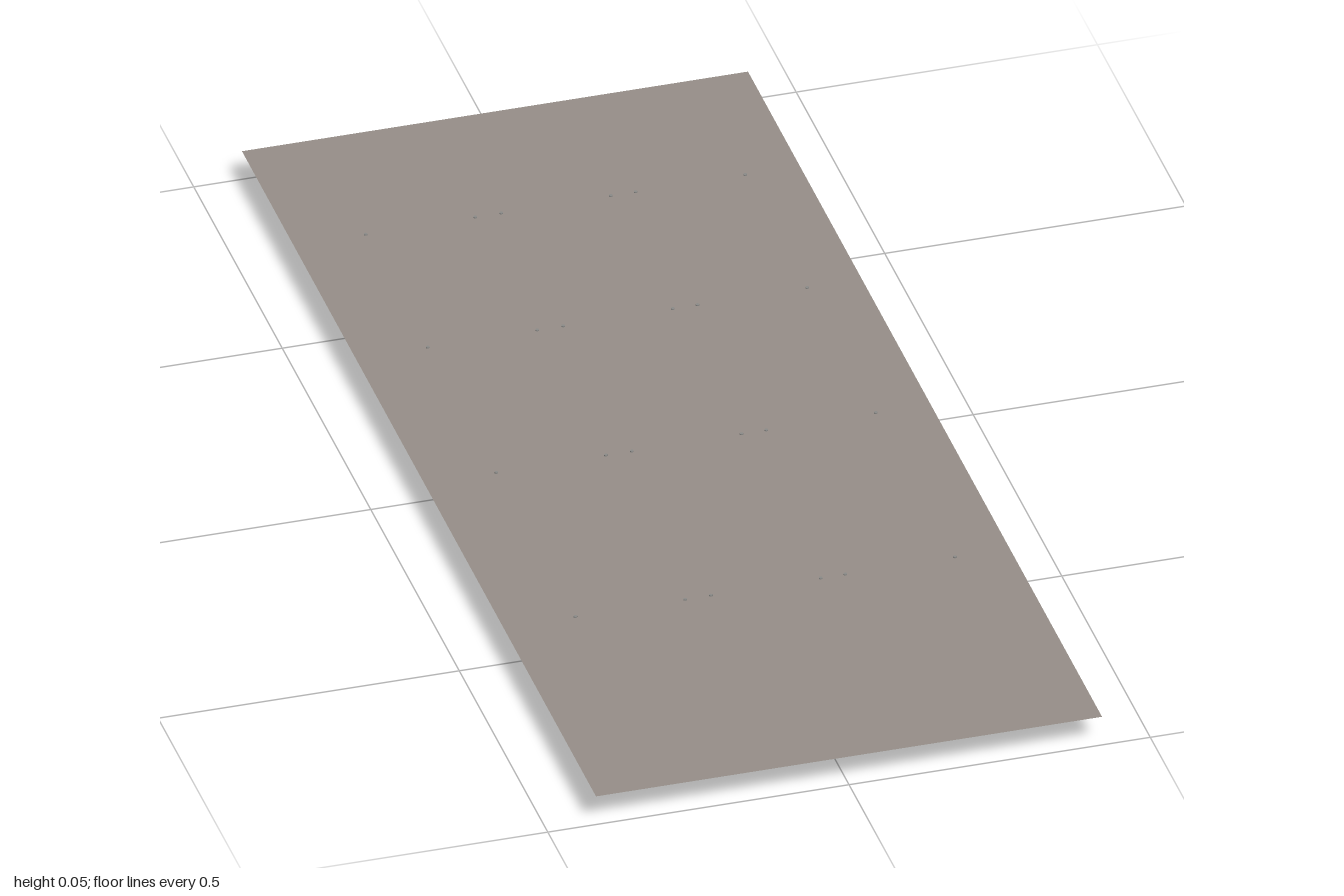
import * as THREE from 'three';

const material = (name, color) => {
  const m = new THREE.MeshStandardMaterial({ color });
  m.name = name;
  return m;
};

export function createModel() {
  const panelGrey = material('warm grey panel', 0x968e88);
  panelGrey.side = THREE.DoubleSide;
  const white = material('off white enamel', 0xd8d4ce);
  const grey = material('light grey lamp', 0xb8b8b6);
  const metal = material('grey metal', 0x8a8a88);

  const model = new THREE.Group();
  model.name = 'ceilingWithLights';

  const add = (parent, name, geometry, mat, x = 0, y = 0, z = 0) => {
    const mesh = new THREE.Mesh(geometry, mat);
    mesh.name = name;
    mesh.position.set(x, y, z);
    parent.add(mesh);
    return mesh;
  };

  // Thin ceiling sheet
  const sheet = new THREE.PlaneGeometry(0.84, 2).rotateX(-Math.PI / 2);
  add(model, 'ceilingPanel', sheet, panelGrey, 0, 0.053, 0);

  // Housing: chamfered section swept along x
  const length = 0.195;
  const section = new THREE.Shape([
    [-0.011, 0.005], [0.011, 0.005], [0.014, 0.014], [0.014, 0.031],
    [0.008, 0.039], [-0.008, 0.039], [-0.014, 0.031], [-0.014, 0.014],
  ].map(([z, y]) => new THREE.Vector2(z, y)));
  const housing = new THREE.ExtrudeGeometry(section, { depth: length, bevelEnabled: false });
  housing.translate(0, 0, -length / 2).rotateY(Math.PI / 2);

  const tube = new THREE.CylinderGeometry(0.0045, 0.0045, 0.172, 10).rotateZ(Math.PI / 2);
  const socket = new THREE.BoxGeometry(0.011, 0.014, 0.01);
  const rail = new THREE.BoxGeometry(0.182, 0.003, 0.004);
  const rod = new THREE.CylinderGeometry(0.003, 0.003, 0.018, 8);

  // One twin-tube light with its two hanging rods
  const makeLight = () => {
    const light = new THREE.Group();
    light.name = 'light';
    add(light, 'housing', housing, white);
    for (const side of [-1, 1]) {
      add(light, 'lampTube', tube, grey, 0, 0.0075, side * 0.01);
      add(light, 'lampRail', rail, metal, 0, 0.0145, side * 0.0135);
      for (const end of [-1, 1]) {
        add(light, 'lampSocket', socket, grey, end * 0.0855, 0.007, side * 0.011);
      }
      add(light, 'hangingRod', rod, metal, side * 0.091, 0.046, 0);
    }
    return light;
  };

  // Four rows of three lights
  for (const z of [0.479, 0.032, -0.356, -0.706]) {
    for (const x of [-0.21, 0.015, 0.238]) {
      const light = makeLight();
      light.position.set(x, 0, z);
      model.add(light);
    }
  }
  return model;
}
